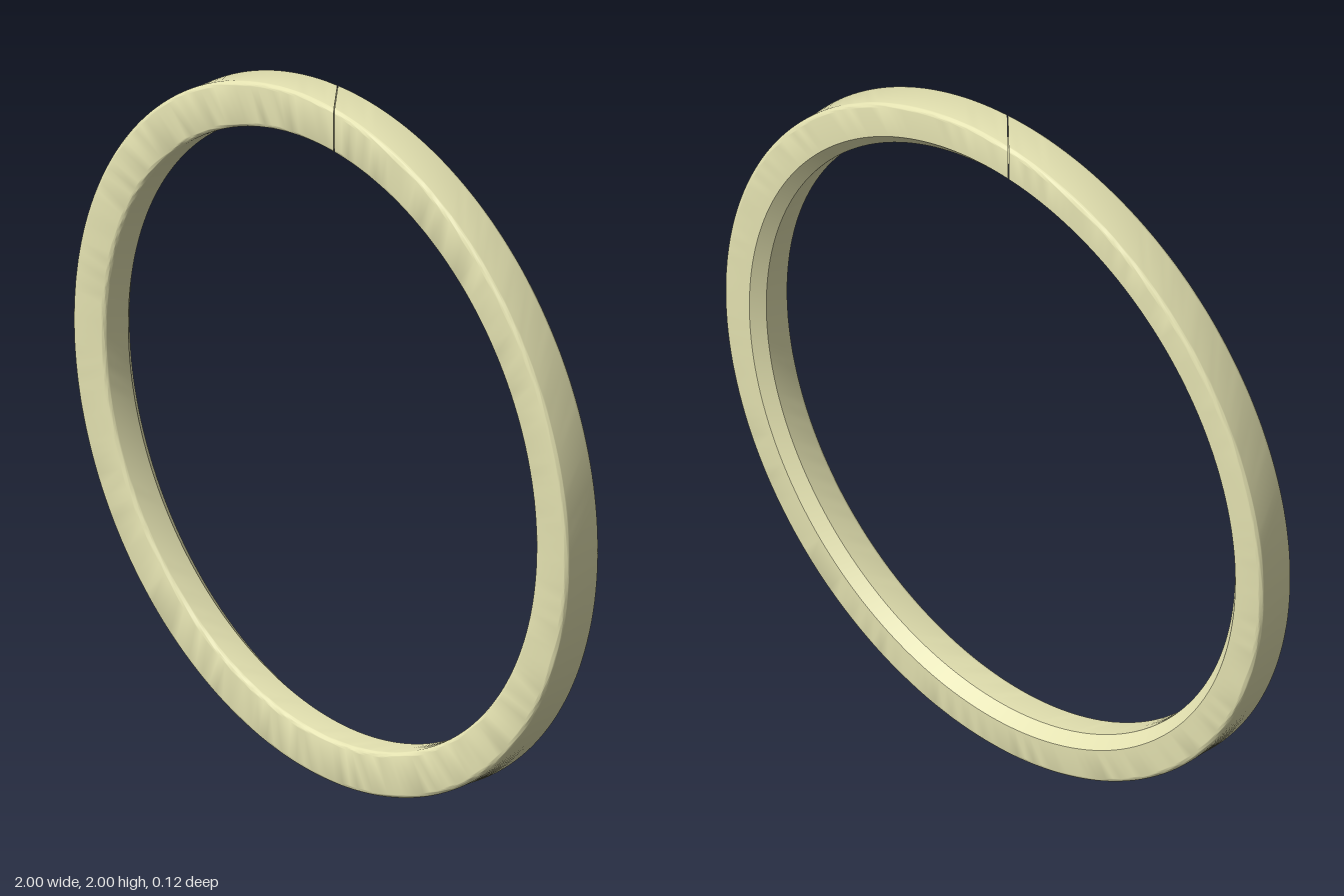
import * as THREE from 'three';
import { toCreasedNormals } from 'three/addons/utils/BufferGeometryUtils.js';

const OUTER = 1, INNER = 0.872, HALF = 0.06; // radii and half thickness
const ROUND = 0.014, BEVEL = 0.032, GAP = 0.003;
const STEPS = 200;

// Cross-section, x = radius and y = depth, counter-clockwise:
// three rounded corners, and a wide bevel on the inner back corner
function ringSection() {
  const s = new THREE.Shape();
  s.moveTo(INNER + BEVEL, -HALF);
  s.lineTo(OUTER - ROUND, -HALF);
  s.absarc(OUTER - ROUND, -HALF + ROUND, ROUND, -Math.PI / 2, 0);
  s.absarc(OUTER - ROUND, HALF - ROUND, ROUND, 0, Math.PI / 2);
  s.absarc(INNER + ROUND, HALF - ROUND, ROUND, Math.PI / 2, Math.PI);
  s.lineTo(INNER, -HALF + BEVEL);
  const pts = s.getPoints(5);
  return pts.filter((p, i) => i === 0 || p.distanceTo(pts[i - 1]) > 1e-6);
}

// Sweep the section round the circle, with both ends cut on the slanted plane x = z
function splitRingGeometry() {
  const section = ringSection();
  const n = section.length;
  const positions = [], index = [];

  for (let j = 0; j <= STEPS; j++) {
    for (const { x: r, y: z } of section) {
      const start = Math.asin((z + GAP / 2) / r);
      const end = Math.PI * 2 + Math.asin((z - GAP / 2) / r);
      const a = THREE.MathUtils.lerp(start, end, j / STEPS);
      positions.push(r * Math.sin(a), 1 + r * Math.cos(a), z);
    }
  }
  for (let j = 0; j < STEPS; j++) {
    for (let i = 0; i < n; i++) {
      const k = (i + 1) % n;
      const a = j * n + i, b = j * n + k, c = b + n, d = a + n;
      index.push(a, b, c, a, c, d);
    }
  }
  // End faces of the slanted cut
  const last = STEPS * n;
  for (const [a, b, c] of THREE.ShapeUtils.triangulateShape(section, [])) {
    index.push(a, c, b, last + a, last + b, last + c);
  }

  const geometry = new THREE.BufferGeometry();
  geometry.setAttribute('position', new THREE.Float32BufferAttribute(positions, 3));
  geometry.setIndex(index);
  return toCreasedNormals(geometry, THREE.MathUtils.degToRad(35));
}

export function createModel() {
  const group = new THREE.Group();
  group.name = 'splitRing';
  const ring = new THREE.Mesh(
    splitRingGeometry(),
    new THREE.MeshStandardMaterial({ color: 0xe3e1b0 })
  );
  ring.name = 'ringBody';
  group.add(ring);
  return group;
}
